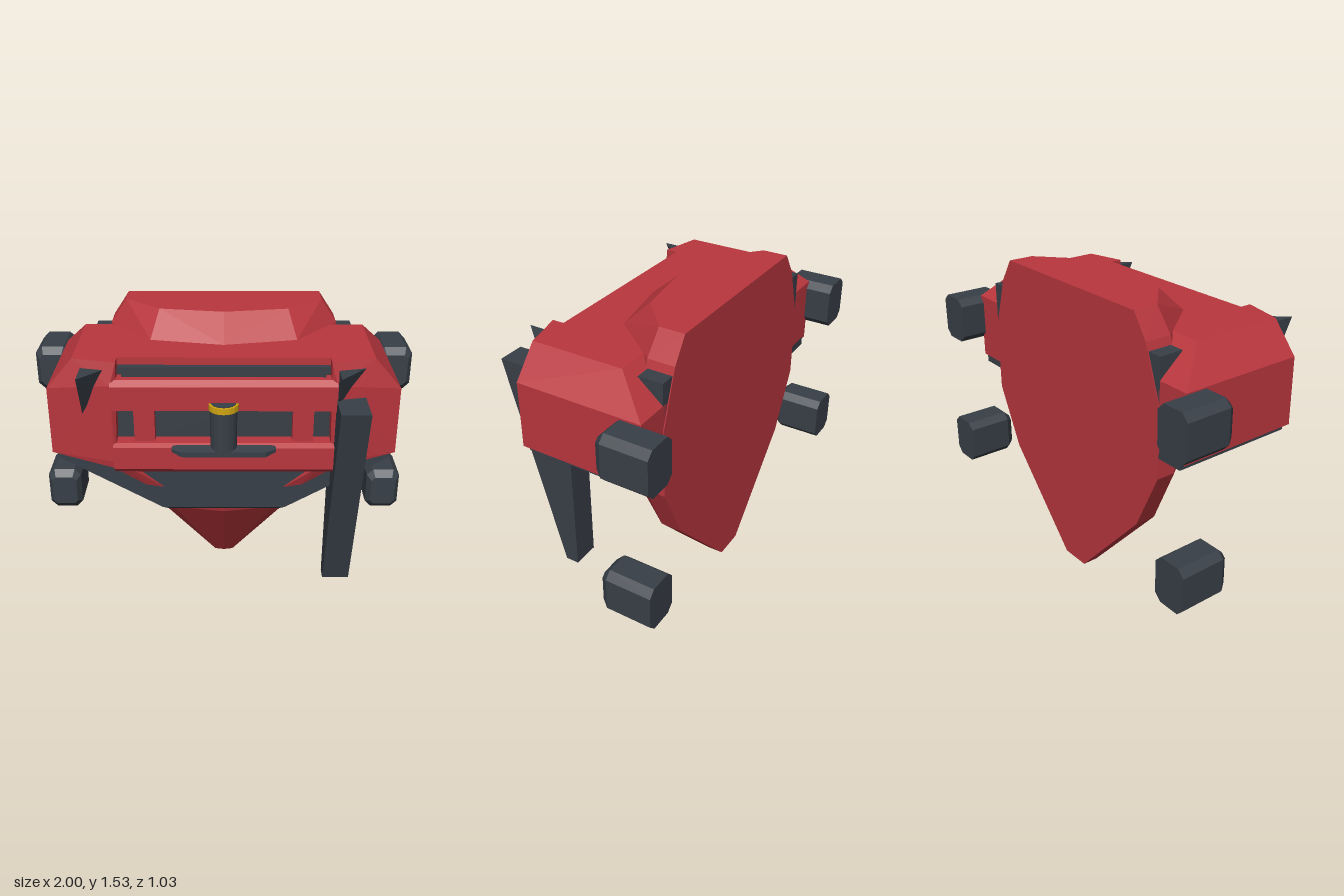
import * as THREE from 'three';
import { ConvexGeometry } from 'three/addons/geometries/ConvexGeometry.js';

const mat = (name, color) => {
  const m = new THREE.MeshStandardMaterial({ color, flatShading: true });
  m.name = name;
  return m;
};

export function createModel() {
  const root = new THREE.Group();
  root.name = 'armoredTorso';
  const red = mat('armor red', 0xb8363d);
  const dark = mat('dark metal', 0x383f47);
  const gold = mat('gold trim', 0xd0a510);

  const add = (name, geometry, material) => {
    const mesh = new THREE.Mesh(geometry, material);
    mesh.name = name;
    root.add(mesh);
    return mesh;
  };
  // Faceted solid spanning a handful of corner points
  const hull = (name, pts, material) =>
    add(name, new ConvexGeometry(pts.map(p => new THREE.Vector3(...p))), material);
  const mirrorX = pts => pts.flatMap(([x, y, z]) => [[x, y, z], [-x, y, z]]);
  // Box from minimum and maximum corners
  const box = (name, [x0, y0, z0], [x1, y1, z1], material) => {
    const m = add(name, new THREE.BoxGeometry(x1 - x0, y1 - y0, z1 - z0), material);
    m.position.set((x0 + x1) / 2, (y0 + y1) / 2, (z0 + z1) / 2);
    return m;
  };
  // Bar running along x from a (z, y) profile
  const bar = (name, profile, halfWidth, material) =>
    hull(name, mirrorX(profile.map(([z, y]) => [halfWidth, y, z])), material);

  // Back shell: y, half width, side z, shoulder x, shoulder z, centre z
  const sections = [
    [0, 0.08, -0.3, 0.05, -0.25, -0.24],
    [0.47, 0.52, -0.27, 0.27, 0.05, 0.1],
    [0.78, 0.67, -0.28, 0.36, 0.12, 0.2],
    [1.14, 0.67, -0.25, 0.36, 0.1, 0.2],
    [1.41, 0.58, -0.24, 0.36, 0.03, 0.1],
    [1.53, 0.5, -0.25, 0.32, -0.09, -0.04],
  ];
  hull('backShell', mirrorX(sections.flatMap(([y, x0, zA, x1, z1, zc]) => [
    [x0, y, -0.38], [x0, y, zA], [x1, y, z1], [0, y, zc],
  ])), red);

  // Dark waist block and inner core
  hull('waist', mirrorX([
    [0.81, 0.93, 0.27], [0.81, 0.93, -0.375],
    [0.81, 0.885, 0.27], [0.81, 0.885, -0.375],
    [0.28, 0.58, 0.25], [0.31, 0.6, 0.27], [0.28, 0.58, 0.1], [0.67, 0.805, -0.26],
  ]), dark);
  box('core', [-0.6, 0.9, -0.2], [0.6, 1.36, 0.27], dark);

  // Chest: two shoulder blocks, a top plate and two front bars
  for (const s of [1, -1]) {
    const side = s > 0 ? 'left' : 'right';
    hull(side + 'ChestBlock', [
      [0.5, 1.41, -0.2], [0.71, 1.41, -0.2], [0.71, 1.41, 0.28], [0.5, 1.41, 0.33],
      [0.84, 1.26, -0.375], [0.84, 1.26, 0.28], [0.84, 0.92, -0.375], [0.84, 0.92, 0.28],
      [0.53, 1.3, 0.35], [0.53, 0.9, 0.345], [0.52, 0.86, 0.34], [0.52, 0.92, 0.2],
      [0.52, 1.26, -0.375], [0.52, 0.92, -0.375],
    ].map(([x, y, z]) => [s * x, y, z]), red);

    // Slanted rib on the waist
    hull(side + 'WaistRib', [
      [0.64, 0.91, 0.31], [0.47, 0.86, 0.32], [0.3, 0.72, 0.275], [0.39, 0.735, 0.275],
      [0.6, 0.9, 0.2], [0.4, 0.8, 0.2],
    ].map(([x, y, z]) => [s * x, y, z]), red);

    box(side + 'Post', [s > 0 ? 0.33 : -0.43, 0.98, 0.24], [s > 0 ? 0.43 : -0.33, 1.2, 0.32], red);
    box(side + 'RearBracket', [s > 0 ? 0.53 : -0.67, 1.15, -0.375], [s > 0 ? 0.67 : -0.53, 1.37, -0.25], dark);

    // Pointed fin, the same way round on both sides
    const fx = s > 0 ? 0.535 : -0.67;
    hull(side + 'Fin', [
      [fx, 1.37, 0.44], [fx, 1.37, 0.27], [fx + 0.13, 1.37, 0.3], [fx, 1.15, 0.33],
    ], dark);

    // Chamfered side pods
    for (const cy of [1.14, 0.4]) {
      const ring = (w, h, z, c = 0.035) => [1, -1].flatMap(i => [1, -1].flatMap(j => [
        [s * 0.908 + i * w, cy + j * (h - c), z], [s * 0.908 + i * (w - c), cy + j * h, z],
      ]));
      hull(side + (cy > 1 ? 'Upper' : 'Lower') + 'Pod',
        [...ring(0.092, 0.12, -0.51), ...ring(0.092, 0.12, -0.275), ...ring(0.068, 0.085, -0.24, 0.02)], dark);
    }
  }
  box('chestTop', [-0.53, 1.375, -0.2], [0.53, 1.41, 0.27], red);
  box('topGrille', [-0.48, 1.3, 0.2], [0.48, 1.374, 0.3], dark);
  bar('upperBar', [[0.25, 1.325], [0.335, 1.325], [0.365, 1.3], [0.365, 1.18], [0.25, 1.18]], 0.53, red);
  bar('lowerBar', [[0.25, 1.0], [0.34, 1.0], [0.365, 0.985], [0.365, 0.87], [0.34, 0.845], [0.25, 0.845]], 0.53, red);

  // Front bumper and central knob
  hull('bumper', mirrorX([
    [0.25, 0.99, 0.35], [0.25, 0.97, 0.35], [0.25, 0.985, 0.375], [0.25, 0.97, 0.375],
    [0.22, 1.0, 0.36], [0.22, 0.955, 0.36], [0.2, 0.99, 0.42], [0.2, 0.965, 0.42],
  ]), dark);
  const disc = (name, r, y0, y1, material) => {
    const m = add(name, new THREE.CylinderGeometry(r, r, y1 - y0, 16), material);
    m.position.set(0, (y0 + y1) / 2, 0.36);
  };
  disc('knobStem', 0.064, 0.98, 1.19, dark);
  disc('knobRing', 0.072, 1.19, 1.22, gold);
  disc('knobCap', 0.06, 1.215, 1.223, dark);

  // Long hanging blade on the left front
  hull('blade', [0.53, 0.67].flatMap(x => [
    [x, 1.23, 0.52], [x, 1.23, 0.3], [x, 0.8, 0.15], [x, 0.13, 0.15], [x, 0.13, 0.22],
  ]), dark);

  return root;
}
